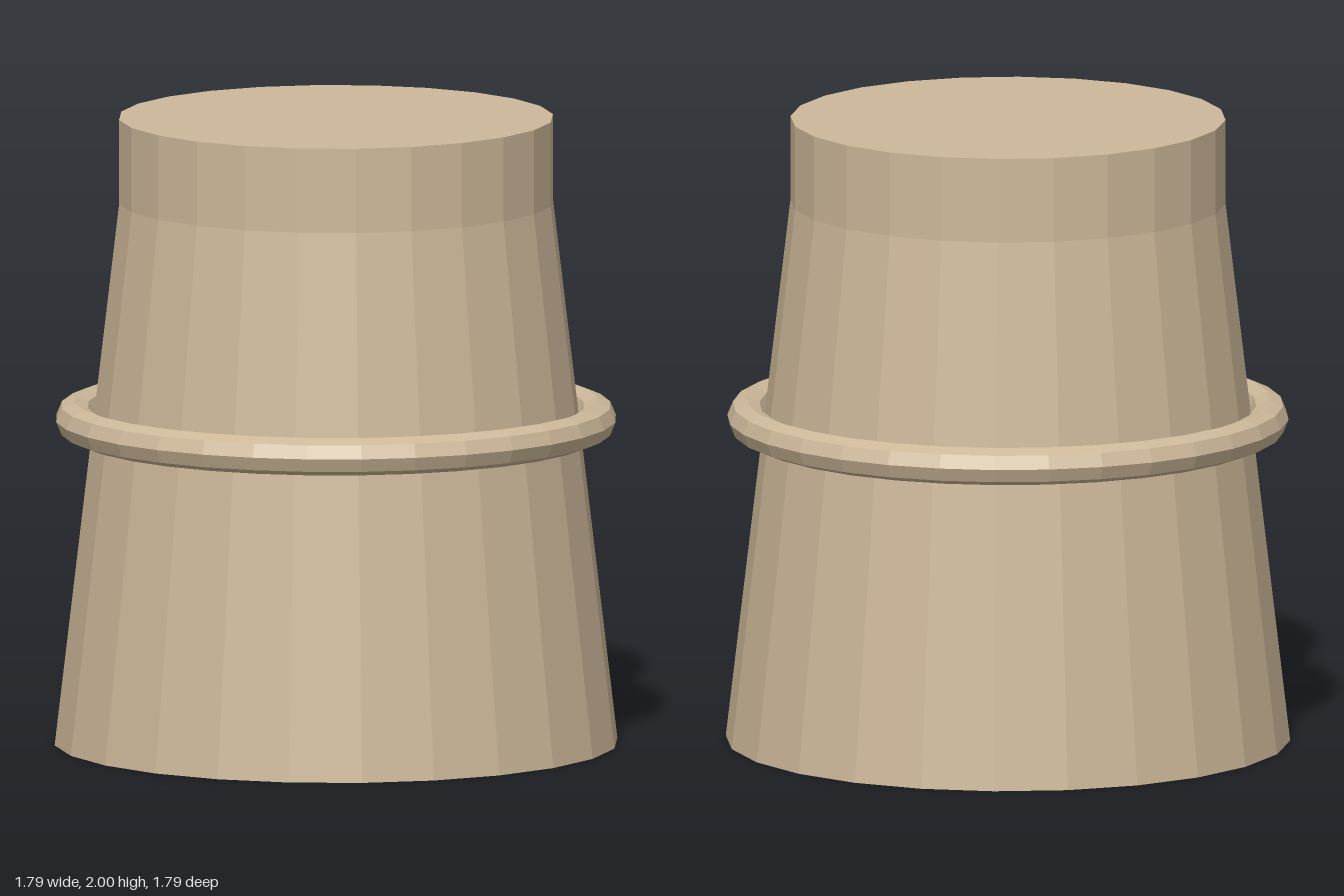
import * as THREE from 'three';

export function createModel() {
  const group = new THREE.Group();
  const tan = new THREE.MeshStandardMaterial({ color: 0xcdb899, flatShading: true });
  tan.name = 'tan';

  function add(name, geometry, y) {
    const mesh = new THREE.Mesh(geometry, tan);
    mesh.name = name;
    mesh.position.y = y;
    group.add(mesh);
    return mesh;
  }

  const neckStart = 1.73;
  const height = 2;
  const neckRadius = 0.69;

  // Tapered body with a closed base
  add('taperedBody', new THREE.CylinderGeometry(neckRadius, 0.895, neckStart, 24), neckStart / 2);

  // Straight neck with a closed top
  add('neck', new THREE.CylinderGeometry(neckRadius, neckRadius, height - neckStart, 24), (height + neckStart) / 2);

  // Eight-sided ring around the middle
  add('middleRing', new THREE.TorusGeometry(0.83, 0.06, 8, 32), 1.035).rotation.x = Math.PI / 2;

  return group;
}
